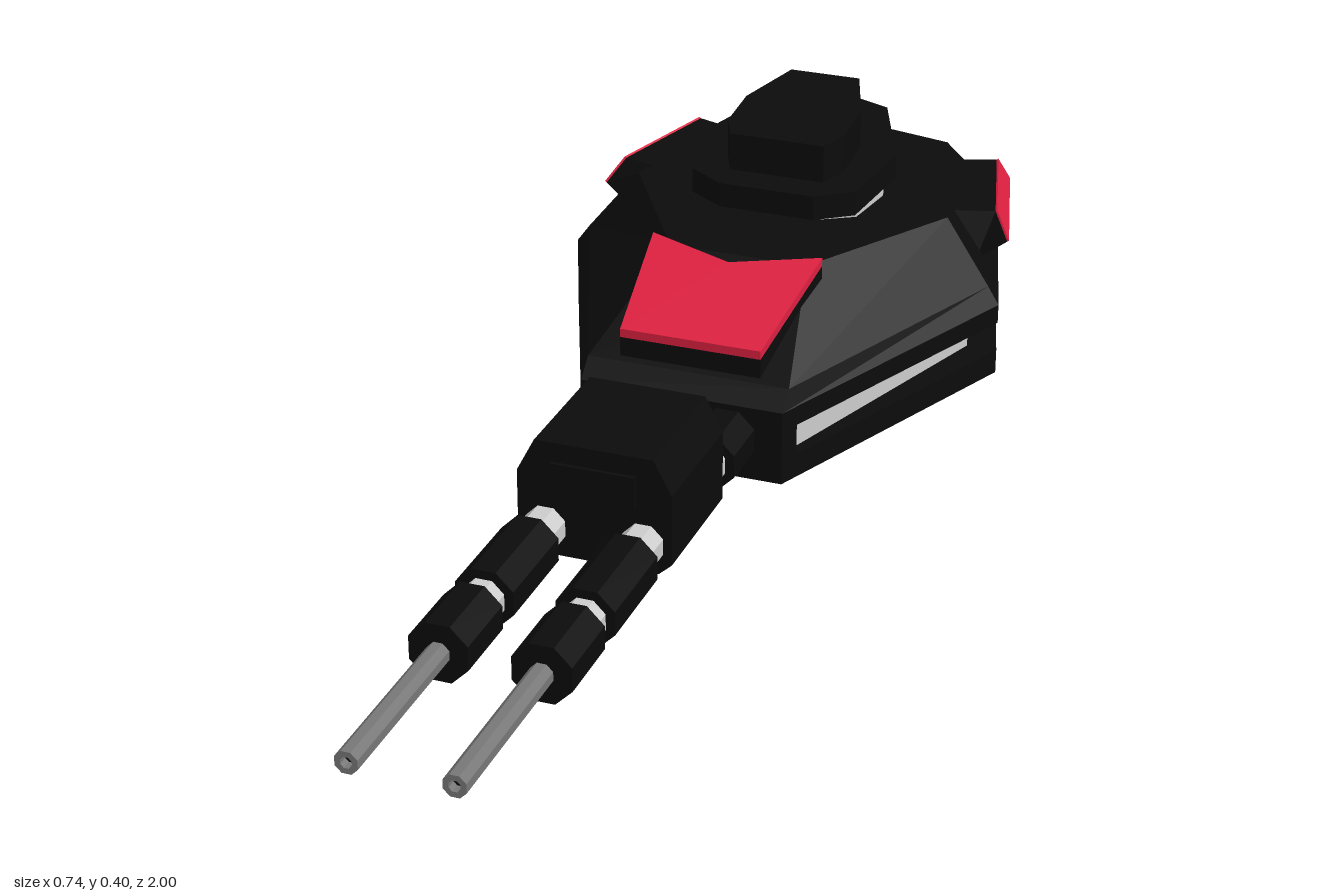
import * as THREE from 'three';

const mat = (color) => new THREE.MeshStandardMaterial({ color, flatShading: true, roughness: 0.8 });

// Skins cross-sections (equal-length loops of [x, y, z], listed bottom to top,
// counter-clockwise seen from above). Caps fan out from corner `apex`.
function loft(rings, apex = 0) {
  const pos = [];
  const tri = (a, b, c) => pos.push(...a, ...b, ...c);
  const n = rings[0].length;
  for (let r = 0; r < rings.length - 1; r++) {
    const lo = rings[r], hi = rings[r + 1];
    for (let i = 0; i < n; i++) {
      const j = (i + 1) % n;
      tri(lo[i], lo[j], hi[j]);
      tri(lo[i], hi[j], hi[i]);
    }
  }
  const bottom = rings[0], top = rings[rings.length - 1];
  for (let k = 1; k < n - 1; k++) {
    const i = (apex + k) % n, j = (apex + k + 1) % n;
    tri(top[apex], top[i], top[j]);
    tri(bottom[apex], bottom[j], bottom[i]);
  }
  const geo = new THREE.BufferGeometry();
  geo.setAttribute('position', new THREE.Float32BufferAttribute(pos, 3));
  geo.computeVertexNormals();
  return geo;
}

// Mirrors a half outline of [x, z] (front to back) into a loop; y may depend on z.
function ring(half, y) {
  const h = typeof y === 'function' ? y : () => y;
  const right = half.map(([x, z]) => [x, h(z), z]);
  const left = half.filter(([x]) => x > 0).reverse().map(([x, z]) => [-x, h(z), z]);
  return [...right, ...left];
}

export function createModel() {
  const model = new THREE.Group();
  model.name = 'turretTank';
  const dark = mat(0x0b0b0b), red = mat(0xdc2040), grey = mat(0xcccccc), steel = mat(0x777777);

  const add = (name, geo, material, parent = model) => {
    const mesh = new THREE.Mesh(geo, material);
    mesh.name = name;
    parent.add(mesh);
    return mesh;
  };
  // Stack of mirrored outlines: layers are [halfOutline, y]
  const stack = (name, material, ...layers) =>
    add(name, loft(layers.map(([o, y]) => ring(o, y)), layers[0][0].length - 1), material);

  // Hull: base slab, recessed pale band, solid nose and sloping upper deck
  const outline = [[0.165, -0.02], [0.37, -0.51], [0.25, -0.94], [0, -1]];
  const band = [[0.16, -0.05], [0.32, -0.51], [0.22, -0.91], [0, -0.96]];
  const shoulder = [[0.165, -0.05], [0.35, -0.515], [0.236, -0.925], [0, -0.98]];
  const plateau = [[0.115, -0.28], [0.27, -0.54], [0.18, -0.85], [0, -0.89]];
  const nose = [[0.165, -0.02], [0.178, -0.052]];
  stack('baseSlab', dark, [outline, 0], [outline, 0.04]);
  stack('hullBand', grey, [band, 0.035], [band, 0.095]);
  stack('noseBlock', dark, [nose, 0.03], [nose, 0.1]);
  stack('upperHull', dark, [outline, 0.09], [outline, 0.122], [shoulder, 0.15], [plateau, 0.25]);

  // Raised front panel with a notched rear edge
  const panel = [[0.115, -0.06], [0.142, -0.275], [0, -0.235]];
  const slope = (y0) => (z) => y0 + (-0.06 - z) * 0.325;
  stack('panelBase', dark, [panel, (z) => 0.145 + (-0.06 - z) * 0.4], [panel, slope(0.186)]);
  stack('frontPanel', red, [panel, slope(0.186)], [panel, slope(0.2)]);

  // Cupola: pale collar, tilted plate and tilted cap
  const collar = [[0.08, -0.46], [0.13, -0.49], [0.145, -0.59], [0.09, -0.74], [0, -0.77]];
  const plate = [[0.08, -0.415], [0.14, -0.45], [0.165, -0.59], [0.1, -0.75], [0, -0.785]];
  const cap = [[0.08, -0.465], [0.1, -0.51], [0.1, -0.6], [0.06, -0.715]];
  const tilt = (y) => (z) => y + (-0.59 - z) * 0.095;
  stack('cupolaCollar', grey, [collar, 0.24], [collar, tilt(0.295)]);
  stack('cupolaPlate', dark, [plate, tilt(0.284)], [plate, tilt(0.325)]);
  stack('cupolaCap', dark, [cap, tilt(0.32)], [cap, tilt(0.388)]);

  // Side pods: dark slab along each rear flank with a red outer face
  for (const s of [1, -1]) {
    const pod = new THREE.Group();
    pod.name = s > 0 ? 'leftPod' : 'rightPod';
    model.add(pod);
    const block = (pts) => {
      const rings = pts.map((loop) => loop.map(([x, y, z]) => [x * s, y, z]));
      return loft(s > 0 ? rings : rings.map((r) => r.reverse()));
    };
    const low = [[0.355, 0.192, -0.607], [0.287, 0.192, -0.865]];
    const high = [[0.327, 0.233, -0.63], [0.27, 0.233, -0.845]];
    add('podBody', block([
      [...low, [0.25, 0.14, -0.86], [0.305, 0.155, -0.6]],
      [...high, [0.2, 0.233, -0.82], [0.26, 0.233, -0.61]],
    ]), dark, pod);
    const shift = ([x, y, z], d) => [x + d, y + d * 0.7, z];
    add('podPanel', block([
      [...low.map((p) => shift(p, 0.003)), ...low.map((p) => shift(p, -0.004)).reverse()],
      [...high.map((p) => shift(p, 0.003)), ...high.map((p) => shift(p, -0.004)).reverse()],
    ]), red, pod);
  }

  // Twin guns: octagonal sleeves over a pale core, ending in a hollow barrel
  const octagon = (r, z0, z1) => new THREE.CylinderGeometry(r, r, z1 - z0, 8)
    .rotateY(Math.PI / 8).rotateX(Math.PI / 2).translate(0, 0, (z0 + z1) / 2);
  for (const s of [1, -1]) {
    const gun = new THREE.Group();
    gun.name = s > 0 ? 'leftGun' : 'rightGun';
    gun.position.set(0.076 * s, 0.068, 0);
    model.add(gun);
    for (const [z0, z1] of [[-0.03, 0.073], [0.396, 0.56], [0.598, 0.715]])
      add('sleeve', octagon(0.048, z0, z1), dark, gun);
    add('core', octagon(0.033, -0.03, 0.7), grey, gun);
    const tube = [[0.009, 0.6], [0.018, 0.6], [0.018, 1], [0.009, 1], [0.009, 0.6]]
      .map(([x, y]) => new THREE.Vector2(x, y));
    add('barrel', new THREE.LatheGeometry(tube, 8).rotateY(Math.PI / 8).rotateX(Math.PI / 2), steel, gun);
    add('bore', octagon(0.0095, 0.7, 0.985), dark, gun);
  }

  // Gun housing: chamfered block joining both guns
  const side = [[0.12, 0.04], [0.12, 0.152], [0.092, 0.206]];
  const profile = new THREE.Shape([
    new THREE.Vector2(-0.1, 0.022), new THREE.Vector2(0.1, 0.022),
    ...side.map(([x, y]) => new THREE.Vector2(x, y)),
    ...side.slice().reverse().map(([x, y]) => new THREE.Vector2(-x, y)),
  ]);
  add('gunHousing', new THREE.ExtrudeGeometry(profile, { depth: 0.215, bevelEnabled: false })
    .translate(0, 0, 0.122), dark);
  add('housingPlate', new THREE.BoxGeometry(0.13, 0.05, 0.01).translate(0, 0.15, 0.338), dark);

  return model;
}
